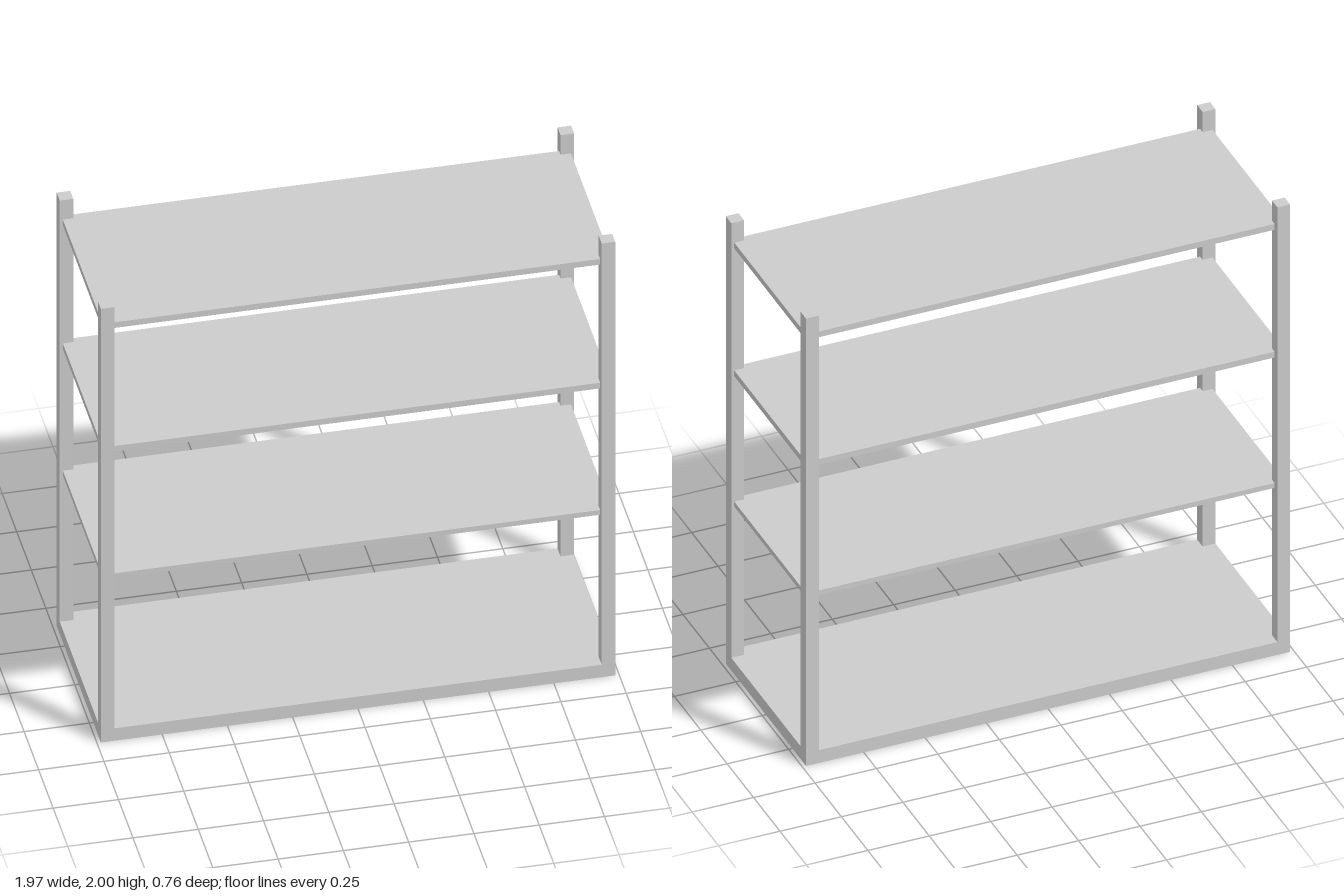
import * as THREE from 'three';

const W = 1.97, D = 0.76, H = 2;   // overall size
const POST = 0.052;                // square post width
const BASE_H = 0.057, WALL = 0.01; // base tray height and sheet thickness

export function createModel() {
  const group = new THREE.Group();
  const material = new THREE.MeshStandardMaterial({ color: 0xcccccc, flatShading: true });

  const box = (name, w, h, d, x, y, z) => {
    const mesh = new THREE.Mesh(new THREE.BoxGeometry(w, h, d), material);
    mesh.name = name;
    mesh.position.set(x, y, z);
    group.add(mesh);
  };

  // Four corner posts
  for (const sx of [-1, 1]) {
    for (const sz of [-1, 1]) {
      const name = (sz > 0 ? 'front' : 'back') + (sx > 0 ? 'Left' : 'Right') + 'Post';
      box(name, POST, H, POST, sx * (W - POST) / 2, H / 2, sz * (D - POST) / 2);
    }
  }

  // Base tray: a top sheet with a rim folded down on every side
  box('basePanel', W, WALL, D, 0, BASE_H - WALL / 2, 0);
  const rimH = BASE_H - WALL;
  for (const s of [-1, 1]) {
    box(s > 0 ? 'baseFrontRim' : 'baseBackRim', W, rimH, WALL, 0, rimH / 2, s * (D - WALL) / 2);
    box(s > 0 ? 'baseLeftRim' : 'baseRightRim', WALL, rimH, D - 2 * WALL, s * (W - WALL) / 2, rimH / 2, 0);
  }

  // Upper shelves, set slightly inside the posts: [underside, top]
  const shelves = [[0.73, 0.752], [1.313, 1.339], [1.884, 1.91]];
  shelves.forEach(([y0, y1], i) => {
    box('shelf' + (i + 1), 1.946, y1 - y0, 0.706, 0, (y0 + y1) / 2, 0);
  });

  return group;
}
